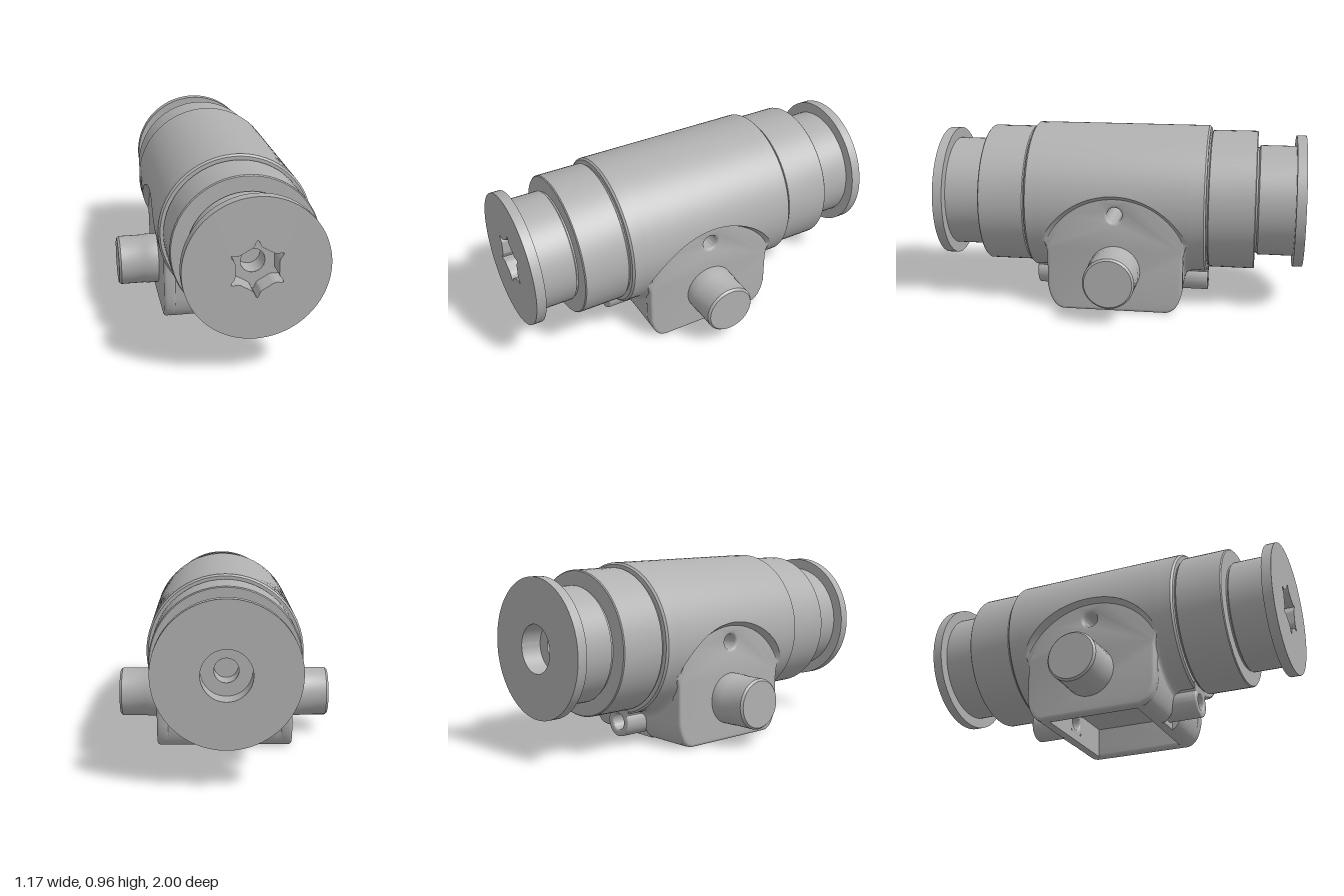
import * as THREE from 'three';
import { toCreasedNormals } from 'three/addons/utils/BufferGeometryUtils.js';
import { ParametricGeometry } from 'three/addons/geometries/ParametricGeometry.js';

const AXIS = 0.56;            // height of the barrel axis
const R = 0.405;              // barrel radius
const FLAT = 0.365;           // x of the flat side faces
const ARC_Y = 0.215, ARC_R = 0.43, ARC_Z = 0.395; // arc where the flats cut the barrel

const grey = new THREE.MeshStandardMaterial({ color: 0xb0b0b0, side: THREE.DoubleSide });
grey.name = 'metalGrey';

function add(parent, name, geometry, crease = 0.6) {
  const mesh = new THREE.Mesh(crease ? toCreasedNormals(geometry, crease) : geometry, grey);
  mesh.name = name;
  parent.add(mesh);
  return mesh;
}

const lathe = (pts, seg = 64) =>
  new THREE.LatheGeometry(pts.map(([r, y]) => new THREE.Vector2(r, y)), seg);

const surface = (fn, nu, nv) =>
  new ParametricGeometry((u, v, p) => p.set(...fn(u, v)), nu, nv);

// Extrude a shape with an optional bevel that stays inside the outline
function extrude(shape, depth, bevel = 0) {
  const g = new THREE.ExtrudeGeometry(shape, {
    depth: depth - 2 * bevel, curveSegments: 40, bevelEnabled: bevel > 0,
    bevelThickness: bevel, bevelSize: bevel, bevelOffset: -bevel, bevelSegments: 3,
  });
  return g.translate(0, 0, bevel);
}

function circle(r, x = 0, y = 0) {
  const s = new THREE.Shape();
  s.absarc(x, y, r, 0, Math.PI * 2, false);
  return s;
}

// Hexagonal socket with a small relief at each corner
function socketOutline() {
  const pts = [];
  for (let i = 0; i < 120; i++) {
    const a = (i / 120) * Math.PI * 2;
    const d = (i % 20 > 10 ? i % 20 - 20 : i % 20) * Math.PI / 60;  // angle from nearest corner
    const r = 0.106 / Math.cos(Math.PI / 6 - Math.abs(d)) + 0.025 * Math.exp(-((d / 0.1) ** 2));
    pts.push(new THREE.Vector2(r * Math.cos(a + Math.PI / 2), r * Math.sin(a + Math.PI / 2)));
  }
  return new THREE.Shape(pts);
}

// Barrel end: collar, neck and flange with a recess, facing +z
function barrelEnd(name, recess) {
  const g = new THREE.Group();
  g.name = name;
  add(g, 'collarAndNeck', lathe([
    [R, 0.39], [R, 0.475], [0.395, 0.485], [0.37, 0.485], [0.37, 0.493], [0.375, 0.493],
    [0.38, 0.498], [0.38, 0.737], [0.375, 0.742], [0.292, 0.742], [0.292, 0.75], [0.302, 0.757],
    [0.302, 0.95],
  ]).rotateX(Math.PI / 2));
  const flange = circle(0.36), liner = circle(0.2), floor = circle(0.2);
  flange.holes.push(recess);
  liner.holes.push(recess);
  floor.holes.push(circle(0.06));
  add(g, 'flange', extrude(flange, 0.052).translate(0, 0, 0.948));
  add(g, 'recessWall', extrude(liner, 0.058).translate(0, 0, 0.89));
  add(g, 'recessFloor', new THREE.ShapeGeometry(floor, 32).translate(0, 0, 0.89));
  add(g, 'bore', lathe([[0.06, 0.89], [0.06, 0.78], [0, 0.78]], 32).rotateX(Math.PI / 2));
  g.position.y = AXIS;
  return g;
}

// Barrel middle: skin above the side flats, skin below, and the cut edges
function barrelMiddle() {
  const g = new THREE.Group();
  g.name = 'barrelMiddle';
  const arcY = (z) => ARC_Y + Math.sqrt(ARC_R ** 2 - z * z);
  const onBarrel = (t, z) => [R * Math.cos(t), AXIS + R * Math.sin(t), z];
  add(g, 'upperSkin', surface((u, v) => {
    const z = (v * 2 - 1) * ARC_Z;
    const t0 = Math.asin((arcY(z) - AXIS) / R);
    return onBarrel(t0 + u * (Math.PI - 2 * t0), z);
  }, 48, 48), 0);
  const low = Math.acos(FLAT / R);
  add(g, 'lowerSkin', surface((u, v) =>
    onBarrel(Math.PI + low + u * (Math.PI - 2 * low), (v * 2 - 1) * ARC_Z), 32, 2), 0);
  const span = Math.asin(ARC_Z / ARC_R);
  for (const turn of [0, Math.PI]) {
    add(g, 'flatCutEdge', surface((u, v) => {
      const a = (u * 2 - 1) * span, rho = ARC_R - 0.022 * v;
      const y = ARC_Y + ARC_R * Math.cos(a);
      const x = Math.max(FLAT, Math.sqrt(R * R - (y - AXIS) ** 2));
      return [x + (FLAT - x) * v, ARC_Y + rho * Math.cos(a), rho * Math.sin(a)];
    }, 48, 4), 0).rotation.y = turn;
  }
  return g;
}

// Base: end plates, cavity walls, fillets to the barrel and lugs
function base() {
  const g = new THREE.Group();
  g.name = 'base';

  const plate = new THREE.Shape();
  const r = 0.425, a = Math.asin(0.39 / r);
  plate.moveTo(0.27, 0);
  plate.quadraticCurveTo(0.345, 0, 0.367, 0.13);
  plate.lineTo(0.367, 0.29);
  plate.quadraticCurveTo(0.367, 0.35, 0.39, ARC_Y + r * Math.cos(a));
  plate.absarc(0, ARC_Y, r, Math.PI / 2 - a, Math.PI / 2 + a, false);
  plate.quadraticCurveTo(-0.367, 0.35, -0.367, 0.29);
  plate.lineTo(-0.367, 0.13);
  plate.quadraticCurveTo(-0.345, 0, -0.27, 0);
  plate.holes.push(circle(0.041, 0, 0.535));

  const wall = new THREE.Shape();
  wall.moveTo(0.25, 0);
  wall.lineTo(0.275, 0);
  wall.quadraticCurveTo(0.345, 0, 0.362, 0.13);
  wall.lineTo(0.362, 0.38);
  wall.lineTo(0.25, 0.38);

  const lug = new THREE.Shape();
  lug.moveTo(0.11, 0.185);
  lug.quadraticCurveTo(0.075, 0.175, 0.071, 0.151);
  lug.absarc(0, 0.11, 0.082, Math.PI / 6, Math.PI * 5 / 6, true);
  lug.quadraticCurveTo(-0.075, 0.175, -0.11, 0.185);
  lug.holes.push(circle(0.044, 0, 0.11));

  for (const turn of [0, Math.PI]) {
    const half = new THREE.Group();
    half.name = 'baseHalf';
    half.rotation.y = turn;
    add(half, 'endPlate', extrude(plate, 0.065, 0.015).rotateY(Math.PI / 2).translate(0.3, 0, 0));
    for (const x of [0.06, -0.33]) {
      add(half, 'cavityWall', extrude(wall, 0.27).rotateY(Math.PI / 2).translate(x, 0, 0));
    }
    add(half, 'lug', extrude(lug, 0.237, 0.008).translate(0, 0, 0.25));
    add(half, 'lugSill', new THREE.BoxGeometry(0.13, 0.045, 0.05).translate(0, 0.0225, 0.275));
    add(half, 'barrelFillet', surface((u, v) => {
      const x = (u * 2 - 1) * 0.355, t = v * Math.PI / 2;
      const y = AXIS - Math.sqrt(R * R - x * x);
      return [x, y - 0.05 * (1 - Math.sin(t)), 0.36 + 0.05 * (1 - Math.cos(t))];
    }, 40, 8), 0);
    // Side pin with chamfered tip
    add(half, 'sidePin', lathe([
      [0.139, 0.35], [0.139, 0.43], [0.136, 0.435], [0.136, 0.573], [0.126, 0.585], [0, 0.585],
    ], 40).rotateZ(-Math.PI / 2).translate(0, 0.227, 0));
    g.add(half);
  }
  add(g, 'cavityRoof', new THREE.BoxGeometry(0.64, 0.005, 0.56).translate(0, 0.168, 0));
  add(g, 'crossHole', new THREE.CylinderGeometry(0.041, 0.041, 0.7, 32, 1, true)
    .rotateZ(Math.PI / 2).translate(0, 0.535, 0));
  return g;
}

export function createModel() {
  const model = new THREE.Group();
  model.name = 'barrelFitting';
  const back = barrelEnd('backEnd', circle(0.125));
  back.rotation.y = Math.PI;
  model.add(barrelEnd('frontEnd', socketOutline()), back, barrelMiddle(), base());
  return model;
}
